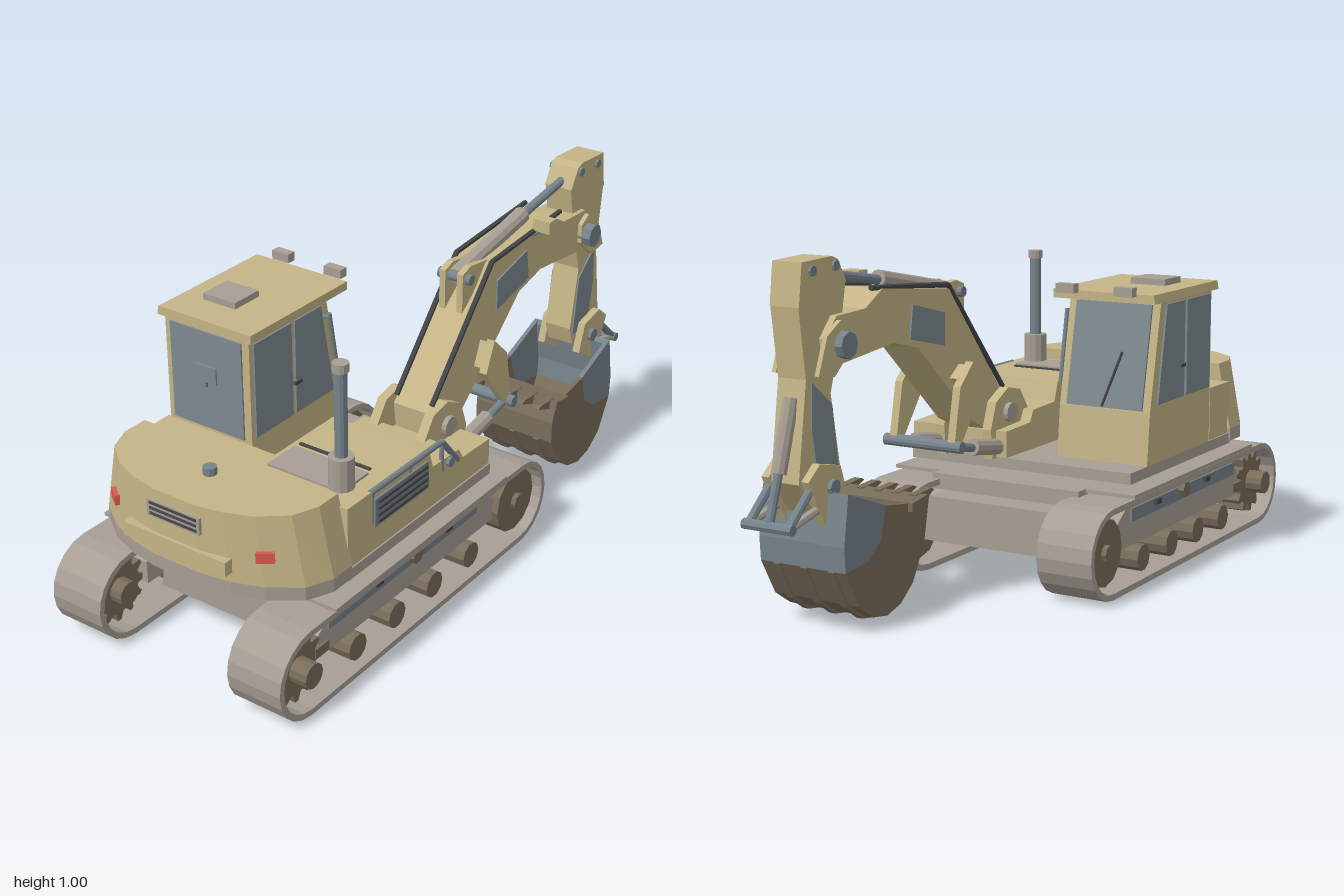
import * as THREE from 'three';

const mat = (name, color) => {
  const m = new THREE.MeshStandardMaterial({ color, flatShading: true });
  m.name = name;
  return m;
};

export function createModel() {
  const tan = mat('tan paint', 0xc4b486), grey = mat('warm grey', 0xa79e94), glass = mat('blue grey glass', 0x7d898f),
    steel = mat('steel', 0x77838b), brown = mat('brown metal', 0x796d5b), dark = mat('dark rubber', 0x45464a),
    red = mat('red lamp', 0xdb5b4b);
  const model = new THREE.Group();
  model.name = 'excavator';
  let parent = model;
  const group = (name) => {
    parent = new THREE.Group();
    parent.name = name;
    model.add(parent);
  };
  const add = (name, geo, m) => {
    const mesh = new THREE.Mesh(geo, m);
    mesh.name = name;
    parent.add(mesh);
    return mesh;
  };
  // box given by its lower and upper corners
  const box = (name, m, x0, x1, y0, y1, z0, z1) =>
    add(name, new THREE.BoxGeometry(x1 - x0, y1 - y0, z1 - z0).translate((x0 + x1) / 2, (y0 + y1) / 2, (z0 + z1) / 2), m);
  const toShape = (pts) => new THREE.Shape(pts.map(([a, b]) => new THREE.Vector2(a, b)));
  // side profile of (z, y) points, extruded from x0 to x1
  const side = (name, m, pts, x0, x1, hole) => {
    const s = toShape(pts);
    if (hole) s.holes.push(toShape(hole));
    const g = new THREE.ExtrudeGeometry(s, { depth: x1 - x0, bevelEnabled: false });
    return add(name, g.rotateY(-Math.PI / 2).translate(x1, 0, 0), m);
  };
  // plan outline of (x, z) points, narrowed towards its top
  const plan = (name, m, pts, y0, y1, taper = 1) => {
    const g = new THREE.ExtrudeGeometry(toShape(pts), { depth: y1 - y0, bevelEnabled: false })
      .rotateX(Math.PI / 2).translate(0, y1, 0);
    const p = g.attributes.position;
    for (let i = 0; i < p.count; i++) p.setX(i, p.getX(i) * (1 + (taper - 1) * (p.getY(i) - y0) / (y1 - y0)));
    g.computeVertexNormals();
    return add(name, g, m);
  };
  const rod = (name, m, a, b, r, n = 10) => {
    const A = new THREE.Vector3(...a), B = new THREE.Vector3(...b), d = B.clone().sub(A);
    const mesh = add(name, new THREE.CylinderGeometry(r, r, d.length(), n), m);
    mesh.position.copy(A).add(B).multiplyScalar(0.5);
    mesh.quaternion.setFromUnitVectors(new THREE.Vector3(0, 1, 0), d.normalize());
    return mesh;
  };
  const axle = (name, m, x0, x1, y, z, r, n = 12) => rod(name, m, [x0, y, z], [x1, y, z], r, n);
  const lerpX = (s, a, b) => (s > 0 ? [a, b] : [-b, -a]);

  // crawler tracks
  const stadium = (r) => {
    const pts = [];
    for (let i = 0; i <= 10; i++) pts.push([0.867 + r * Math.sin(i * Math.PI / 10), 0.133 - r * Math.cos(i * Math.PI / 10)]);
    for (let i = 0; i <= 10; i++) pts.push([-0.167 - r * Math.sin(i * Math.PI / 10), 0.133 + r * Math.cos(i * Math.PI / 10)]);
    return pts;
  };
  const gear = [];
  for (let i = 0; i < 48; i++) {
    const r = i % 4 < 2 ? 0.102 : 0.078, t = i * Math.PI / 24;
    gear.push([0.875 + r * Math.cos(t), 0.135 + r * Math.sin(t)]);
  }
  for (const s of [1, -1]) {
    group(s > 0 ? 'leftTrack' : 'rightTrack');
    const X = (a, b) => lerpX(s, a, b);
    side('trackBelt', grey, stadium(0.133), ...X(0.225, 0.4), stadium(0.115));
    side('sprocket', brown, gear, ...X(0.27, 0.36));
    axle('sprocketHub', brown, ...X(0.23, 0.415), 0.135, 0.875, 0.037);
    axle('idler', brown, ...X(0.25, 0.375), 0.135, -0.17, 0.1);
    axle('idlerHub', brown, ...X(0.25, 0.39), 0.135, -0.17, 0.025, 8);
    side('trackFrame', grey, [[0.78, 0.11], [0.78, 0.18], [0.72, 0.23], [0, 0.23], [-0.09, 0.17], [-0.09, 0.11]], ...X(0.25, 0.355));
    box('framePanel', steel, ...X(0.355, 0.361), 0.182, 0.222, 0.02, 0.74);
    box('sprocketLug', brown, ...X(0.3, 0.362), 0.12, 0.15, 0.74, 0.8);
    for (const z of [0.63, 0.445, 0.26, 0.07]) axle('roller', brown, ...X(0.25, 0.375), 0.066, z, 0.04, 10);
    axle('carrierRoller', brown, ...X(0.3, 0.38), 0.215, 0.35, 0.025, 6);
    for (const z of [0.18, 0.52]) box('frameClip', dark, ...X(0.355, 0.372), 0.205, 0.22, z - 0.015, z + 0.015);
    box('fender', grey, ...X(0.235, 0.41), 0.272, 0.283, -0.06, 0.77);
  }

  // undercarriage and slewing ring
  group('undercarriage');
  plan('centreFrame', grey, [[-0.222, -0.19], [0.222, -0.19], [0.222, 0.75], [-0.222, 0.75]], 0.1, 0.235, 0.92);
  side('endPanel', grey, [[0.75, 0.11], [0.756, 0.11], [0.756, 0.21], [0.75, 0.21]], -0.19, 0.19);
  box('crossFrame', grey, -0.25, 0.25, 0.235, 0.283, -0.1, 0.75);
  const ring = add('slewingRing', new THREE.CylinderGeometry(0.26, 0.26, 0.03, 28), steel);
  ring.position.set(0, 0.293, 0.345);

  // upper deck and engine body
  group('upperBody');
  box('deck', grey, -0.375, 0.375, 0.302, 0.335, -0.02, 0.67);
  side('engineBody', tan, [[0.665, 0.335], [0.665, 0.52], [0.29, 0.52], [0.27, 0.46], [0.14, 0.455], [0.12, 0.42], [-0.02, 0.415], [-0.02, 0.335]], 0.04, 0.37);
  box('rearBody', tan, -0.37, 0.04, 0.335, 0.5, 0.525, 0.67);
  box('hoodPanel', grey, 0.06, 0.31, 0.52, 0.527, 0.49, 0.61);
  box('hoodSeam', dark, 0.06, 0.3, 0.52, 0.525, 0.462, 0.472);
  box('sideGrille', steel, 0.37, 0.377, 0.41, 0.495, 0.3, 0.55);
  for (let i = 0; i < 4; i++) box('sideSlat', dark, 0.376, 0.382, 0.42 + i * 0.02, 0.427 + i * 0.02, 0.31, 0.54);
  rod('handrail', steel, [0.365, 0.515, 0.56], [0.365, 0.515, 0.22], 0.009);
  rod('handrailFront', steel, [0.365, 0.515, 0.22], [0.365, 0.42, 0.14], 0.009);
  for (const z of [0.55, 0.38, 0.22]) rod('railPost', steel, [0.365, 0.42, z], [0.365, 0.515, z], 0.007, 8);
  axle('fuelCap', steel, 0.36, 0.38, 0.44, 0.19, 0.015, 8);
  rod('exhaustBase', grey, [0.288, 0.5, 0.58], [0.288, 0.615, 0.58], 0.036, 12);
  rod('exhaustPipe', steel, [0.288, 0.6, 0.58], [0.288, 0.875, 0.58], 0.018, 12);
  rod('exhaustCap', grey, [0.288, 0.865, 0.58], [0.288, 0.89, 0.58], 0.023, 12);

  // counterweight
  group('counterweight');
  const half = [[0.38, 0.66], [0.38, 0.74], [0.345, 0.815], [0.26, 0.875], [0.17, 0.907], [0.08, 0.922]];
  const outline = [...half, ...half.slice().reverse().map(([x, z]) => [-x, z])];
  plan('weightBlock', tan, outline, 0.35, 0.555, 0.885);
  plan('weightSkirt', grey, outline, 0.31, 0.35);
  box('rearPlate', tan, -0.175, 0.175, 0.38, 0.422, 0.9, 0.932);
  box('rearGrille', grey, -0.09, 0.09, 0.472, 0.522, 0.9, 0.928);
  for (let i = 0; i < 3; i++) box('rearSlat', dark, -0.08, 0.08, 0.479 + i * 0.016, 0.486 + i * 0.016, 0.926, 0.931);
  rod('liftBolt', steel, [0, 0.55, 0.775], [0, 0.577, 0.775], 0.02);
  for (const s of [1, -1]) {
    const lamp = add('tailLamp', new THREE.BoxGeometry(0.05, 0.03, 0.02), red);
    lamp.position.set(s * 0.258, 0.44, 0.868);
    lamp.rotation.y = s * 0.6;
  }

  // cab
  group('cab');
  side('cabShell', tan, [[0.51, 0.335], [0.51, 0.815], [0.165, 0.815], [0.1, 0.49], [0.085, 0.335]], -0.375, -0.075);
  box('rearWindow', glass, -0.355, -0.1, 0.5, 0.8, 0.508, 0.515);
  box('rearHatch', glass, -0.265, -0.19, 0.648, 0.698, 0.514, 0.52);
  box('rearLatch', brown, -0.232, -0.224, 0.632, 0.646, 0.514, 0.52);
  for (const [x0, x1] of [[-0.381, -0.375], [-0.075, -0.069]]) {
    side('sideWindow', glass, [[0.495, 0.51], [0.495, 0.8], [0.33, 0.8], [0.33, 0.51]], x0, x1);
    side('doorWindow', glass, [[0.315, 0.51], [0.315, 0.8], [0.195, 0.8], [0.14, 0.51]], x0, x1);
    box('doorHandle', dark, x0 - 0.003, x1 + 0.003, 0.6, 0.61, 0.29, 0.32);
  }
  side('windscreen', glass, [[0.162, 0.8], [0.155, 0.8], [0.094, 0.495], [0.101, 0.495]], -0.35, -0.1);
  rod('wiper', dark, [-0.22, 0.5, 0.092], [-0.27, 0.66, 0.124], 0.004, 6);
  plan('cabRoof', tan, [[-0.395, 0.085], [-0.06, 0.085], [-0.06, 0.52], [-0.395, 0.52]], 0.812, 0.838, 0.985);
  box('roofHatch', grey, -0.315, -0.2, 0.835, 0.857, 0.31, 0.415);
  for (const x of [-0.31, -0.12]) box('roofLamp', grey, x - 0.03, x + 0.03, 0.833, 0.86, 0.045, 0.075);
  rod('grabRail', steel, [-0.06, 0.55, 0.13], [-0.06, 0.77, 0.17], 0.007, 8);
  for (const [y, z] of [[0.56, 0.14], [0.76, 0.18]]) rod('grabMount', steel, [-0.08, y, z], [-0.058, y, z - 0.008], 0.006, 6);

  // boom
  group('boom');
  side('boomBeam', tan, [[0.08, 0.42], [0.09, 0.5], [0.05, 0.54], [-0.22, 0.86], [-0.55, 0.895], [-0.63, 0.85], [-0.76, 0.845],
    [-0.81, 0.79], [-0.8, 0.71], [-0.5, 0.74], [-0.38, 0.71], [-0.09, 0.45], [0, 0.41]], 0.11, 0.235);
  for (const [x0, x1] of [[0.105, 0.111], [0.234, 0.24]])
    side('boomPanel', glass, [[-0.25, 0.7], [-0.25, 0.795], [-0.41, 0.835], [-0.425, 0.74]], x0, x1);
  for (const [x0, x1] of [[0.075, 0.105], [0.24, 0.27]])
    side('cradleCheek', tan, [[0.18, 0.33], [0.17, 0.45], [0.12, 0.52], [0.05, 0.535], [-0.02, 0.5], [-0.05, 0.42], [-0.04, 0.33]], x0, x1);
  axle('boomPin', grey, 0.06, 0.285, 0.46, 0.05, 0.03);
  for (const x of [0.06, 0.26]) {
    side('boomLug', tan, [[-0.13, 0.55], [-0.17, 0.645], [-0.24, 0.58], [-0.275, 0.41], [-0.25, 0.395]], x, x + 0.025);
    rod('liftCylinder', grey, [x + 0.012, 0.36, 0.02], [x + 0.012, 0.39, -0.16], 0.024);
    rod('liftRod', steel, [x + 0.012, 0.385, -0.14], [x + 0.012, 0.41, -0.27], 0.013);
    side('lugWeb', tan, [[-0.14, 0.56], [-0.17, 0.635], [-0.22, 0.6]], x === 0.06 ? 0.08 : 0.235, x === 0.06 ? 0.11 : 0.262);
  }
  axle('liftPin', steel, 0.04, 0.305, 0.41, -0.262, 0.018);
  for (const x of [0.135, 0.195])
    side('armCylinderBracket', tan, [[-0.1, 0.74], [-0.1, 0.86], [-0.14, 0.875], [-0.25, 0.86], [-0.2, 0.82]], x, x + 0.02);
  axle('armCylinderPin', steel, 0.12, 0.23, 0.84, -0.125, 0.016);
  rod('armCylinder', grey, [0.175, 0.84, -0.12], [0.175, 0.91, -0.48], 0.026);
  rod('armRod', steel, [0.175, 0.905, -0.46], [0.175, 0.95, -0.74], 0.014);
  for (const x of [0.12, 0.242]) {
    rod('hoseLower', dark, [x, 0.53, 0.09], [x, 0.87, -0.21], 0.008, 6);
    rod('hoseUpper', dark, [x, 0.87, -0.21], [x, 0.9, -0.59], 0.008, 6);
  }
  box('boomLamp', tan, 0.24, 0.298, 0.89, 0.928, -0.475, -0.435);
  rod('boomLampArm', steel, [0.22, 0.86, -0.45], [0.27, 0.895, -0.455], 0.008, 6);

  // stick: two cheeks at the boom joint, solid above and below
  group('stick');
  const stick = [[-0.725, 0.99], [-0.75, 1], [-0.88, 0.995], [-0.895, 0.88], [-0.87, 0.69], [-0.91, 0.42], [-0.84, 0.33], [-0.75, 0.38],
    [-0.73, 0.44], [-0.765, 0.64], [-0.72, 0.78], [-0.69, 0.93]];
  side('stickBeam', tan, stick, 0.13, 0.22);
  for (const [x0, x1] of [[0.096, 0.11], [0.235, 0.249]])
    side('jointCheek', tan, [[-0.72, 0.75], [-0.72, 0.81], [-0.76, 0.835], [-0.82, 0.8], [-0.86, 0.7], [-0.79, 0.69]], x0, x1);
  for (const [x0, x1] of [[0.125, 0.131], [0.219, 0.225]])
    side('stickPanel', glass, [[-0.765, 0.61], [-0.85, 0.68], [-0.855, 0.56], [-0.83, 0.41], [-0.74, 0.42]], x0, x1);
  side('stickHead', tan, stick.slice(0, 4).concat([[-0.86, 0.87], [-0.71, 0.9], [-0.69, 0.93]]), 0.128, 0.222);
  axle('jointPin', steel, 0.072, 0.278, 0.77, -0.755, 0.037, 8);
  for (const [y, z] of [[0.975, -0.74], [0.97, -0.84]]) axle('headPin', steel, 0.12, 0.23, y, z, 0.014, 8);

  // bucket linkage
  group('bucketLinkage');
  rod('bucketCylinder', grey, [0.175, 0.64, -0.875], [0.175, 0.45, -0.935], 0.022);
  rod('bucketRod', steel, [0.175, 0.47, -0.93], [0.175, 0.32, -0.98], 0.013);
  axle('linkPin', steel, 0.095, 0.255, 0.32, -0.983, 0.015, 8);
  for (const x of [0.11, 0.24]) {
    rod('stickLink', steel, [x, 0.32, -0.983], [x, 0.44, -0.85], 0.012, 8);
    rod('bucketLink', grey, [x, 0.32, -0.983], [x, 0.36, -0.8], 0.012, 8);
    side('bucketEar', tan, [[-0.74, 0.36], [-0.77, 0.45], [-0.86, 0.47], [-0.91, 0.43], [-0.84, 0.3]], x - 0.012, x + 0.012);
  }
  axle('stickPin', steel, 0.085, 0.265, 0.4, -0.81, 0.022, 8);

  // bucket
  group('bucket');
  const curve = [[-0.5, 0.3], [-0.478, 0.24], [-0.478, 0.17], [-0.53, 0.08], [-0.59, 0.035], [-0.655, 0.018], [-0.72, 0.03], [-0.785, 0.075], [-0.843, 0.18]];
  const back = [[-0.843, 0.18], [-0.847, 0.25], [-0.825, 0.39]];
  const strip = (pts) => [...pts, ...pts.slice().reverse().map(([z, y]) => [-0.67 + (z + 0.67) * 0.92, 0.24 + (y - 0.24) * 0.92])];
  side('bucketShell', brown, strip(curve), 0.04, 0.31);
  side('bucketBack', steel, strip(back), 0.04, 0.31);
  for (const x of [0.035, 0.301]) {
    side('bucketSide', brown, [...curve, [-0.74, 0.19], [-0.68, 0.235], [-0.655, 0.325]], x, x + 0.014);
    side('bucketSideTop', steel, [...back, [-0.655, 0.325], [-0.68, 0.235], [-0.74, 0.19]], x, x + 0.014);
  }
  const rib = (pts) => [...pts.map(([z, y]) => [-0.66 + (z + 0.66) * 1.035, 0.2 + (y - 0.2) * 1.05]), ...pts.slice().reverse()];
  for (const x of [0.08, 0.17, 0.26]) side('wearRib', brown, rib(curve.slice(2)), x - 0.01, x + 0.01);
  side('bucketLip', brown, [[-0.55, 0.285], [-0.47, 0.295], [-0.475, 0.32], [-0.55, 0.31]], 0.02, 0.33);
  for (let i = 0; i < 5; i++) {
    const x = 0.055 + i * 0.06;
    side('tooth', brown, [[-0.49, 0.285], [-0.405, 0.318], [-0.42, 0.325], [-0.5, 0.32]], x - 0.012, x + 0.012);
  }
  return model;
}
